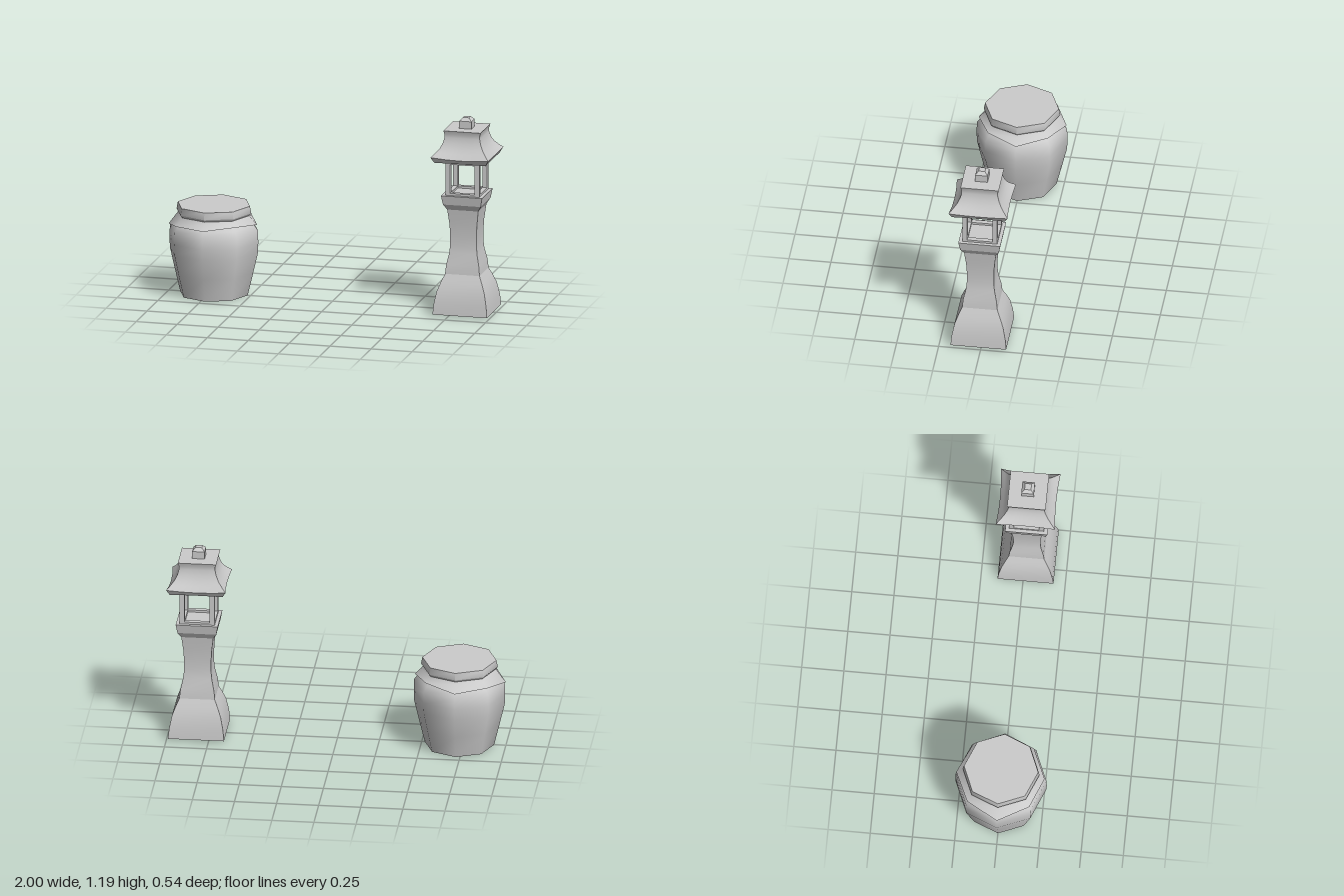
import * as THREE from 'three';
import { toCreasedNormals } from 'three/addons/utils/BufferGeometryUtils.js';

const grey = new THREE.MeshStandardMaterial({ color: 0xcccccc });
const greyDouble = new THREE.MeshStandardMaterial({ color: 0xcccccc, side: THREE.DoubleSide });

// Skin a stack of equal-length rings (bottom to top), with optional end caps.
function loft(rings, crease, { bottom = true, top = true } = {}) {
  const n = rings[0].length;
  const pos = rings.flat(2);
  const idx = [];
  for (let i = 0; i < rings.length - 1; i++) {
    for (let j = 0; j < n; j++) {
      const a = i * n + j, b = i * n + (j + 1) % n;
      idx.push(a, a + n, b, b, a + n, b + n);
    }
  }
  const cap = (row, up) => {
    const c = pos.length / 3;
    pos.push(0, rings[row].reduce((s, p) => s + p[1], 0) / n, 0);
    for (let j = 0; j < n; j++) {
      const a = row * n + j, b = row * n + (j + 1) % n;
      if (up) idx.push(c, b, a);
      else idx.push(c, a, b);
    }
  };
  if (bottom) cap(0, false);
  if (top) cap(rings.length - 1, true);
  const geo = new THREE.BufferGeometry();
  geo.setAttribute('position', new THREE.Float32BufferAttribute(pos, 3));
  geo.setIndex(idx);
  return toCreasedNormals(geo, crease);
}

// Square ring; bow pulls the side middles inward, sag lowers them.
function squareRing(h, y, bow = 0, sag = 0, steps = 1) {
  const ring = [];
  for (let s = 0; s < 4; s++) {
    const c = Math.round(Math.cos(s * Math.PI / 2)), d = Math.round(Math.sin(s * Math.PI / 2));
    for (let k = 0; k < steps; k++) {
      const t = -1 + 2 * k / steps, m = 1 - t * t;
      const out = h - bow * m, along = h * t;
      ring.push([out * c - along * d, y - sag * m, out * d + along * c]);
    }
  }
  return ring;
}

// Octagonal ring with corners on the axes.
const octRing = (r, y) => Array.from({ length: 8 }, (_, i) => {
  const a = i * Math.PI / 4;
  return [r * Math.cos(a), y, r * Math.sin(a)];
});

function add(parent, name, geometry, material = grey) {
  const mesh = new THREE.Mesh(geometry, material);
  mesh.name = name;
  parent.add(mesh);
  return mesh;
}

function createLantern() {
  const lantern = new THREE.Group();
  lantern.name = 'stoneLantern';
  const square = (name, profile, crease = 0.5) =>
    add(lantern, name, loft(profile.map(([h, y]) => squareRing(h, y)), crease));

  // Flared foot, waisted shaft and stepped platform
  square('foot', [[0.166, 0.01], [0.16, 0.075], [0.145, 0.15], [0.126, 0.2], [0.105, 0.247]]);
  square('shaft', [[0.105, 0.247], [0.1, 0.3], [0.085, 0.37], [0.08, 0.42],
    [0.08, 0.48], [0.084, 0.55], [0.095, 0.64]]);
  square('platform', [[0.095, 0.638], [0.115, 0.672], [0.125, 0.727]], 0.3);

  // Open light chamber: corner posts joined by thin rails
  const chamber = new THREE.Group();
  chamber.name = 'lightChamber';
  const w = 0.029, c = 0.0895;
  const post = new THREE.BoxGeometry(w, 0.21, w);
  for (const x of [-c, c]) for (const z of [-c, c]) {
    add(chamber, 'cornerPost', post).position.set(x, 0.831, z);
  }
  for (const [y, h] of [[0.733, 0.014], [0.925, 0.02]]) {
    for (const s of [-c, c]) {
      add(chamber, 'sideRail', new THREE.BoxGeometry(w, h, 2 * c - w)).position.set(s, y, 0);
      add(chamber, 'crossRail', new THREE.BoxGeometry(2 * c - w, h, w)).position.set(0, y, s);
    }
  }
  lantern.add(chamber);

  // Roof: bowed, upturned eaves sweeping up to a flat crown
  const roof = [
    [0.157, 0.935, 0.004, 0], [0.176, 0.97, 0.01, 0.012], [0.151, 0.995, 0.006, 0.006],
    [0.131, 1.018, 0.003, 0.003], [0.116, 1.048, 0.001, 0], [0.107, 1.08, 0, 0],
    [0.107, 1.1, 0, 0], [0.114, 1.122, 0, 0],
  ].map(([h, y, bow, sag]) => squareRing(h, y, bow, sag, 4));
  add(lantern, 'roof', loft(roof, 0.55));

  square('finial', [[0.037, 1.12], [0.037, 1.167], [0.019, 1.186]]);
  return lantern;
}

function createJar() {
  const jar = new THREE.Group();
  jar.name = 'jar';

  // Tapered body
  const body = [[0.206, 0], [0.24, 0.14], [0.269, 0.265], [0.271, 0.33], [0.269, 0.4], [0.248, 0.43], [0.222, 0.462]];
  add(jar, 'jarBody', loft(body.map(([r, y]) => octRing(r, y)), 0.95));

  // Cloth cover: uneven hem, tied neck and flat top
  const hem = [[0.264, 0.435], [0.252, 0.457], [0.258, 0.44], [0.26, 0.44],
    [0.276, 0.407], [0.26, 0.442], [0.266, 0.43], [0.253, 0.455]].map(([r, y], i) => {
    const a = i * Math.PI / 4;
    return [r * Math.cos(a), y, r * Math.sin(a)];
  });
  const neck = [[0.227, 0.474], [0.216, 0.488], [0.228, 0.503], [0.22, 0.545]];
  add(jar, 'clothCover', loft([hem, ...neck.map(([r, y]) => octRing(r, y))], 0.85, { bottom: false }), greyDouble);
  return jar;
}

export function createModel() {
  const model = new THREE.Group();
  model.name = 'gardenSet';
  const lantern = createLantern();
  lantern.position.set(0.824, 0, 0.015);
  const jar = createJar();
  jar.position.set(-0.724, 0, 0);
  model.add(lantern, jar);
  return model;
}
